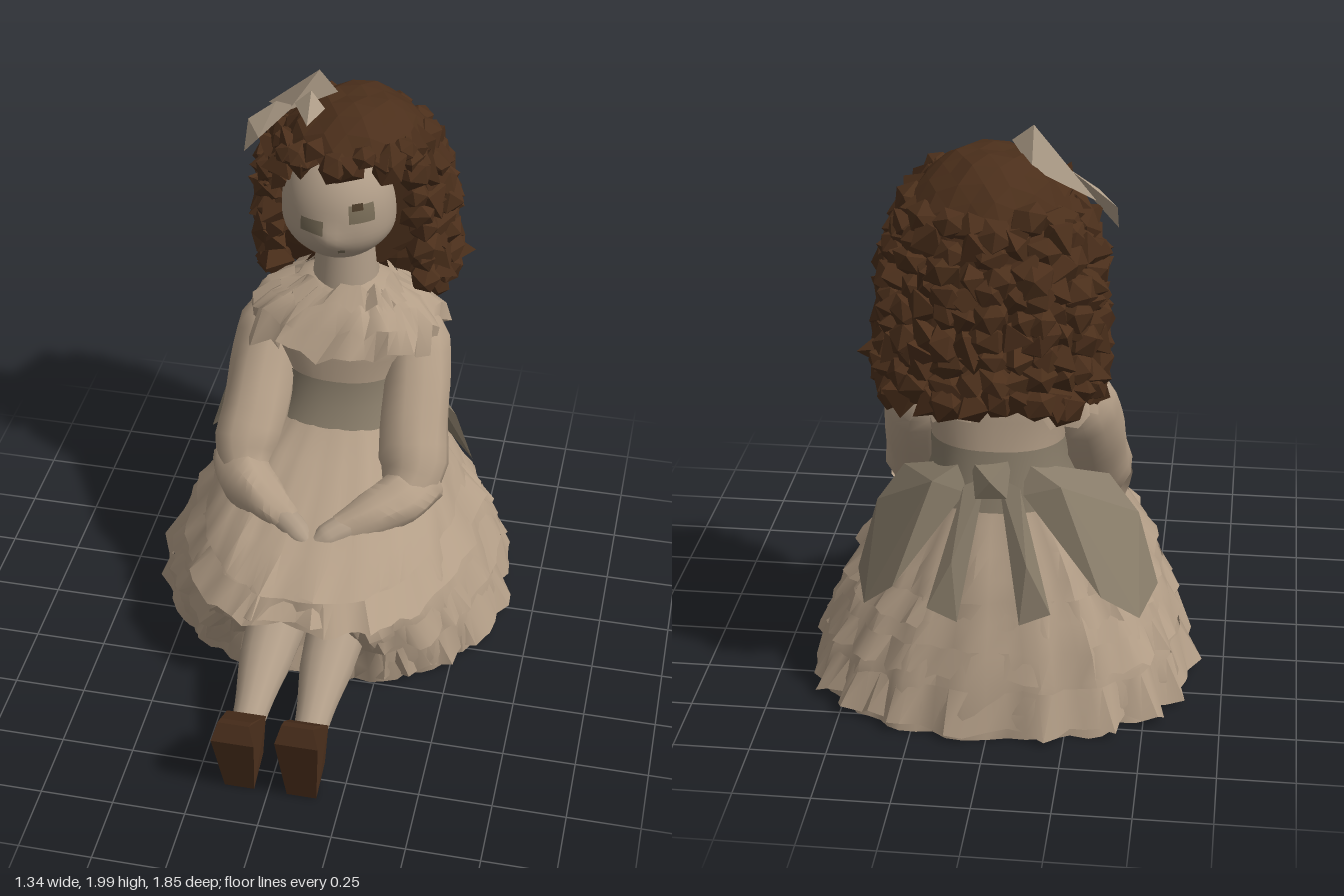
import * as THREE from 'three';
import { mergeGeometries, mergeVertices, toCreasedNormals } from 'three/addons/utils/BufferGeometryUtils.js';
import { ConvexGeometry } from 'three/addons/geometries/ConvexGeometry.js';

const mat = (name, color) => {
  const m = new THREE.MeshStandardMaterial({ color, side: THREE.DoubleSide });
  m.name = name;
  return m;
};

// Seeded random numbers
let seed = 7;
const rnd = () => {
  seed = (seed * 16807) % 2147483647;
  return seed / 2147483647;
};
const jitter = a => (rnd() - 0.5) * 2 * a;

// Stacked oval rings: each row is [y, half width, front z, back z, pleat, ragged]
function loft(rows, seg, { pleats = 0, round = 0.88, capBottom = false, capTop = false, shape = p => p, crease = 0.7 } = {}) {
  const pos = [], idx = [];
  const v = new THREE.Vector3();
  const soft = t => Math.sign(t) * Math.abs(t) ** round;
  rows.forEach(([y, rx, zf, zb, pleat = 0, rag = 0]) => {
    const cz = Math.min((zf + zb) / 2, -0.35);
    for (let j = 0; j < seg; j++) {
      const a = j / seg * Math.PI * 2, s = Math.sin(a), c = Math.cos(a);
      const k = 1 + pleat * (c > 0.3 ? 0.5 : 1) * Math.sin(a * pleats) + jitter(rag);
      v.set(rx * soft(s) * k, y + jitter(rag * 0.5), cz + (c > 0 ? zf - cz : cz - zb) * soft(c) * k);
      shape(v);
      pos.push(v.x, Math.max(v.y, 0.01), v.z);
    }
  });
  for (let i = 0; i < rows.length - 1; i++) for (let j = 0; j < seg; j++) {
    const n = (j + 1) % seg, a = i * seg + j, b = i * seg + n, c = b + seg, d = a + seg;
    idx.push(a, b, c, a, c, d);
  }
  const cap = (row, flip) => {
    const mid = pos.length / 3, r = rows[row];
    pos.push(0, Math.max(r[0], 0.01), (r[2] + r[3]) / 2);
    for (let j = 0; j < seg; j++) {
      const a = row * seg + j, b = row * seg + (j + 1) % seg;
      idx.push(mid, flip ? b : a, flip ? a : b);
    }
  };
  if (capBottom) cap(0, true);
  if (capTop) cap(rows.length - 1, false);
  const g = new THREE.BufferGeometry();
  g.setAttribute('position', new THREE.Float32BufferAttribute(pos, 3));
  g.setIndex(idx);
  return toCreasedNormals(g, crease);
}

// Tube with a changing radius along a smooth path
function limb(points, radii, rough = 0) {
  const n = 14, sides = 12;
  const curve = new THREE.CatmullRomCurve3(points.map(p => new THREE.Vector3(...p)));
  const g = new THREE.TubeGeometry(curve, n, 1, sides);
  const p = g.attributes.position, v = new THREE.Vector3();
  for (let i = 0; i <= n; i++) {
    const c = curve.getPointAt(i / n), t = i / n * (radii.length - 1);
    const k = Math.min(Math.floor(t), radii.length - 2);
    const r = THREE.MathUtils.lerp(radii[k], radii[k + 1], t - k);
    for (let j = 0; j <= sides; j++) {
      const id = i * (sides + 1) + j;
      const w = 1 + rough * Math.sin((j % sides) * 2.1 + i * 0.5);
      v.fromBufferAttribute(p, id).sub(c).multiplyScalar(r * w).add(c);
      p.setXYZ(id, v.x, v.y, v.z);
    }
  }
  g.deleteAttribute('uv');
  g.deleteAttribute('normal');
  return toCreasedNormals(mergeVertices(g), 0.8);
}

const hull = pts => new ConvexGeometry(pts.map(p => new THREE.Vector3(...p)));
const mirrorX = (pts, s) => pts.map(([x, y, z]) => [x * s, y, z]);

export function createModel() {
  const model = new THREE.Group();
  const dress = mat('dress cloth', 0xb39e87), skin = mat('skin', 0xae9b86), hair = mat('hair', 0x4b2f1b);
  const shoe = mat('shoe leather', 0x4b2f1c), sash = mat('sash cloth', 0x887c69);
  const bow = mat('pale ribbon', 0xb8a690), eye = mat('eyes', 0x786c57), dark = mat('pupil', 0x4a3a28);
  const add = (name, geo, m) => {
    const mesh = new THREE.Mesh(geo, m);
    mesh.name = name;
    model.add(mesh);
  };

  // Skirt, hollowed at the front where the legs come out
  const hollow = v => {
    const d = Math.hypot(v.x / 0.27, (v.y - 0.22) / 0.19);
    if (v.z > 0 && d < 1) v.z -= 0.12 * (1 - d * d);
  };
  add('skirt', loft([
    [0.01, 0.61, 0.27, -0.86, 0.02, 0.025], [0.1, 0.61, 0.3, -0.86, 0.025, 0.02],
    [0.2, 0.58, 0.34, -0.84, 0.025, 0.02], [0.3, 0.54, 0.4, -0.82, 0.025, 0.02],
    [0.39, 0.49, 0.43, -0.79, 0.025, 0.02], [0.46, 0.45, 0.37, -0.77, 0.025, 0.02],
    [0.53, 0.41, 0.22, -0.75, 0.025, 0.015], [0.61, 0.36, 0.06, -0.72, 0.025, 0.01],
    [0.7, 0.29, -0.09, -0.69, 0.02], [0.78, 0.22, -0.21, -0.66, 0.01], [0.86, 0.2, -0.27, -0.64]
  ], 76, { pleats: 19, round: 0.86, shape: hollow, capBottom: true, capTop: true }), dress);

  // Ragged flounces
  [[[0.04, 0.645, 0.27, -0.875, 0.025, 0.035], [0.18, 0.588, 0.325, -0.845, 0.02, 0.012]],
    [[0.21, 0.595, 0.36, -0.835, 0.02, 0.03], [0.31, 0.535, 0.4, -0.818, 0.02, 0.012]],
    [[0.37, 0.52, 0.46, -0.79, 0.02, 0.03], [0.46, 0.45, 0.38, -0.77, 0.02, 0.012]]].forEach((rows, i) =>
    add('flounce' + (i + 1), loft(rows, 84, { pleats: 19, round: 0.84, shape: hollow }), dress));

  // Bodice, collar and sash
  add('bodice', loft([
    [0.76, 0.22, -0.24, -0.65], [0.9, 0.21, -0.27, -0.63], [1.03, 0.25, -0.25, -0.62, 0.01],
    [1.16, 0.28, -0.27, -0.62, 0.01], [1.23, 0.22, -0.32, -0.6], [1.28, 0.11, -0.37, -0.56]
  ], 40, { pleats: 9, capTop: true }), dress);
  add('collar', loft([
    [1.07, 0.35, -0.22, -0.68, 0.04, 0.09], [1.15, 0.33, -0.25, -0.67, 0.03, 0.05],
    [1.21, 0.27, -0.29, -0.63, 0.03, 0.03], [1.26, 0.18, -0.34, -0.59, 0.03, 0.03]
  ], 48, { pleats: 11 }), dress);
  add('neckFrill', loft([[1.22, 0.23, -0.29, -0.6, 0.04, 0.07], [1.28, 0.16, -0.34, -0.57, 0.04, 0.05]], 32,
    { pleats: 8 }), dress);
  add('sash', loft([[0.74, 0.255, -0.18, -0.68], [0.84, 0.222, -0.24, -0.66], [0.94, 0.222, -0.255, -0.645]], 40), sash);

  // Arms, legs, shoes and the sash loops in mirrored pairs
  for (const s of [1, -1]) {
    const side = s > 0 ? 'left' : 'right';
    add(side + 'Sleeve', limb(mirrorX([
      [0.2, 1.19, -0.48], [0.25, 1.08, -0.46], [0.275, 0.94, -0.37], [0.285, 0.8, -0.26], [0.3, 0.67, -0.15], [0.27, 0.6, -0.05]
    ], s), [0.03, 0.115, 0.122, 0.122, 0.122, 0.07], 0.035), dress);
    add(side + 'Forearm', limb(mirrorX([
      [0.34, 0.64, -0.17], [0.27, 0.61, -0.06], [0.17, 0.585, 0.03], [0.08, 0.565, 0.09]
    ], s), [0.09, 0.1, 0.08, 0.05], 0.06), dress);
    add(side + 'Hand', limb(mirrorX([
      [0.15, 0.58, 0.05], [0.08, 0.565, 0.1], [0.03, 0.545, 0.14], [-0.01, 0.53, 0.17]
    ], s), [0.05, 0.05, 0.045, 0.01]), skin);

    const cx = s > 0 ? 0.115 : -0.1;
    add(side + 'Leg', limb([[cx, 0.24, 0.1], [cx, 0.235, 0.35], [cx, 0.22, 0.5], [cx, 0.185, 0.68], [cx, 0.182, 0.78]],
      [0.1, 0.105, 0.092, 0.065, 0.05]), skin);

    const outline = [[0.84, 0.01], [0.92, 0.32], [0.9, 0.39], [0.86, 0.37], [0.72, 0.24], [0.715, 0.06]];
    const g = new THREE.ExtrudeGeometry(new THREE.Shape(outline.map(p => new THREE.Vector2(...p))),
      { depth: 0.14, bevelEnabled: false });
    g.translate(0, 0, -0.07).rotateY(-Math.PI / 2);
    const p = g.attributes.position;
    for (let i = 0; i < p.count; i++) {
      const y = p.getY(i), taper = y > 0.35 ? 0.75 : 0.72 + 1.0 * y;
      p.setX(i, p.getX(i) * taper + cx);
      if (s < 0 && y > 0.3) p.setY(i, y - 0.03);
    }
    g.computeVertexNormals();
    add(side + 'Shoe', g, shoe);

    const reach = s > 0 ? 0.87 : 1;
    add(side + 'SashLoop', hull(mirrorX([
      [0.1, 0.9, -0.62], [0.1, 0.8, -0.66], [0.36, 0.8, -0.47], [0.46, 0.68, -0.5],
      [0.53, 0.45, -0.55], [0.48, 0.4, -0.7], [0.36, 0.5, -0.76], [0.22, 0.84, -0.67]
    ], s * reach)), sash);
    add(side + 'SashTail', hull(mirrorX([
      [0.02, 0.86, -0.66], [0.09, 0.83, -0.67], [0.2, 0.44, -0.78], [0.1, 0.4, -0.79], [0.12, 0.6, -0.76]
    ], s)), sash);
  }
  add('sashKnot', hull([[-0.06, 0.92, -0.63], [0.07, 0.9, -0.63], [0.05, 0.8, -0.7], [-0.05, 0.8, -0.69], [0, 0.87, -0.72]]), sash);

  // Neck and head, with a soft nose drawn forward
  add('neck', new THREE.CylinderGeometry(0.1, 0.125, 0.24, 24).translate(-0.005, 1.31, -0.47), skin);
  const C = new THREE.Vector3(-0.03, 1.57, -0.475), R = new THREE.Vector3(0.198, 0.217, 0.2);
  const face = g => {
    g.scale(R.x, R.y, R.z).translate(C.x, C.y, C.z);
    const p = g.attributes.position;
    for (let i = 0; i < p.count; i++) {
      const x = p.getX(i) - C.x, y = p.getY(i);
      const nose = 0.018 * Math.exp(-((x / 0.045) ** 2) - ((y - 1.51) / 0.05) ** 2);
      const jaw = 1 + 0.06 * Math.exp(-(((y - 1.47) / 0.07) ** 2));
      p.setX(i, C.x + x * jaw);
      if (p.getZ(i) > C.z) p.setZ(i, C.z + (p.getZ(i) - C.z) * jaw + nose);
    }
    g.computeVertexNormals();
    return g;
  };
  add('head', face(new THREE.SphereGeometry(1, 40, 30)), skin);

  // Face details as thin curved patches
  const patch = (name, x, y, w, h, m) => {
    const dy = (y - C.y) / R.y, th = Math.acos(dy), ring = Math.sin(th);
    const ph = Math.PI / 2 + Math.asin((x - C.x) / (R.x * ring));
    const pw = w / R.x, hh = h / R.y, k = m === dark ? 1.025 : 1.015;
    add(name, face(new THREE.SphereGeometry(k, 8, 6, ph - pw / 2, pw, th - hh / 2, hh)), m);
  };
  patch('rightEye', -0.088, 1.56, 0.085, 0.05, eye);
  patch('leftEye', 0.078, 1.61, 0.095, 0.065, eye);
  patch('leftPupil', 0.062, 1.635, 0.04, 0.025, dark);
  patch('mouth', 0.01, 1.465, 0.025, 0.02, eye);

  // Hair cap, full above the brow and pulled back from the face
  const cap = new THREE.IcosahedronGeometry(1, 4);
  const cp = cap.attributes.position;
  for (let i = 0; i < cp.count; i++) {
    const x = cp.getX(i), y = cp.getY(i), z = cp.getZ(i);
    const k = 1 + 0.035 * Math.sin(x * 9 + y * 5) * Math.cos(z * 8) + 0.12 * Math.abs(y * z);
    const py = 1.61 + y * 0.312 * k;
    let pz = -0.56 + z * 0.285 * k;
    if (py < 1.76) pz = Math.min(pz, -0.46);
    cp.setXYZ(i, 0.01 + x * 0.3 * k, py, pz);
  }
  cap.computeVertexNormals();
  add('hairCap', cap, hair);
  add('backHair', loft([
    [1.2, 0.26, -0.56, -0.8], [1.3, 0.3, -0.52, -0.83], [1.5, 0.3, -0.49, -0.83], [1.7, 0.26, -0.49, -0.8]
  ], 24, { capBottom: true, capTop: true, crease: 0.1 }), hair);

  // Curls in rows around the head: [y, half width, depth, centre z, start angle, end angle]
  const curls = [], full = Math.PI * 2;
  const rows = [[1.2, 0.32, 0.18, -0.67, 1.05], [1.27, 0.33, 0.21, -0.64, 0.88], [1.34, 0.325, 0.23, -0.625, 0.85],
    [1.41, 0.32, 0.24, -0.62, 0.82], [1.48, 0.315, 0.24, -0.62, 0.82], [1.55, 0.31, 0.24, -0.61, 0.82],
    [1.62, 0.3, 0.24, -0.6, 0.8], [1.69, 0.275, 0.24, -0.59, 0.75], [1.75, 0.24, 0.25, -0.57, 0.6],
    [1.8, 0.23, 0.23, -0.54, -1.4, 1.4]];
  for (const [y, rx, rz, cz, from, to = full - from] of rows) {
    const count = to > 2 ? 20 : 10;
    for (let j = 0; j < count; j++) {
      const a = from + (j + 0.2 + rnd() * 0.6) / count * (to - from);
      const r = to > 2 ? 0.068 : 0.055;
      const g = j % 2 ? new THREE.OctahedronGeometry(r * 1.08) : new THREE.IcosahedronGeometry(r);
      g.scale(0.65 + rnd() * 0.45, 0.8 + rnd() * 0.5, 0.65 + rnd() * 0.45);
      g.rotateX(jitter(1.2)).rotateY(rnd() * 6).rotateZ(jitter(1.2));
      g.translate(0.005 + rx * Math.sin(a), y + jitter(0.025), cz + rz * Math.cos(a));
      curls.push(g);
    }
  }
  const curlGeo = mergeGeometries(curls);
  curlGeo.computeVertexNormals();
  add('curls', curlGeo, hair);

  // Hair bow
  add('hairBowUpper', hull([[-0.22, 1.85, -0.53], [-0.12, 2, -0.56], [-0.05, 1.94, -0.53], [-0.12, 1.88, -0.62], [-0.32, 1.8, -0.66]]), bow);
  add('hairBowLower', hull([[-0.2, 1.87, -0.53], [-0.38, 1.67, -0.53], [-0.31, 1.77, -0.46], [-0.38, 1.76, -0.6], [-0.28, 1.84, -0.6]]), bow);
  add('hairBowTail', hull([[-0.2, 1.88, -0.53], [-0.13, 1.87, -0.4], [-0.08, 1.91, -0.46], [-0.14, 1.94, -0.52]]), bow);
  return model;
}
